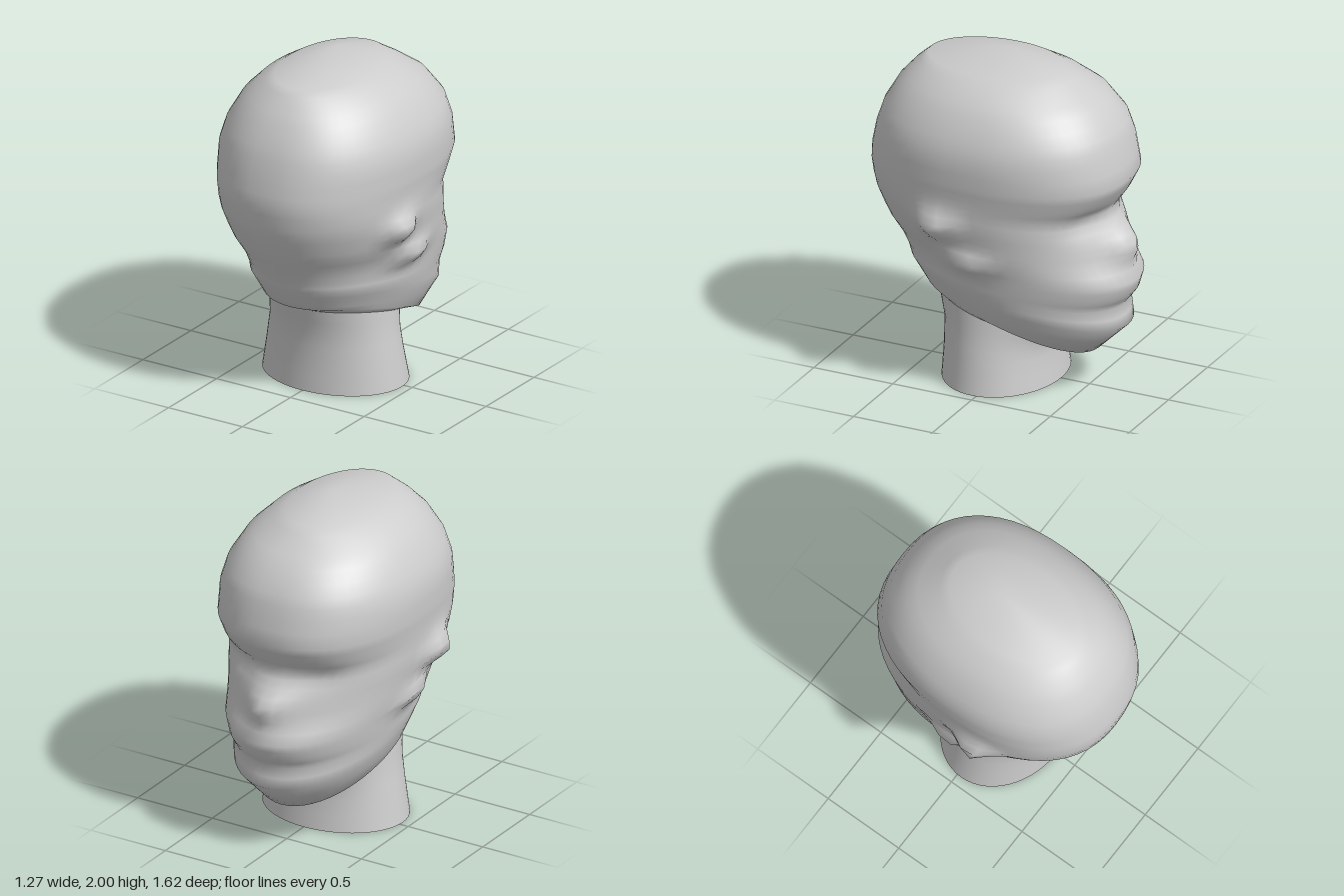
import * as THREE from 'three';

const SEGMENTS = 56;
const STEPS = 2; // sub-rings between neighbouring sections

// Sections: [face y, face z, nape y, nape z, half width, roundness exponent]
const neckSections = [
  [0, -0.32, 0, 0.375, 0.445, 2],
  [0.18, -0.295, 0.2, 0.365, 0.41, 2],
  [0.26, -0.3, 0.36, 0.37, 0.385, 2],
  [0.32, -0.33, 0.52, 0.41, 0.37, 2],
];
const headSections = [
  [0.32, -0.33, 0.52, 0.41, 0.37, 2],
  [0.24, -0.56, 0.56, 0.5, 0.4, 2],
  [0.42, -0.745, 0.62, 0.54, 0.45, 2],
  [0.55, -0.72, 0.7, 0.585, 0.475, 2.05],
  [0.63, -0.78, 0.76, 0.61, 0.485, 2],
  [0.72, -0.805, 0.85, 0.66, 0.5, 2],
  [0.84, -0.72, 0.95, 0.715, 0.53, 2.1],
  [0.94, -0.685, 1.03, 0.75, 0.545, 2.15],
  [1.03, -0.66, 1.12, 0.785, 0.56, 2.2],
  [1.13, -0.64, 1.2, 0.8, 0.565, 2.25],
  [1.22, -0.7, 1.28, 0.81, 0.57, 2.3],
  [1.33, -0.755, 1.36, 0.805, 0.58, 2.3],
  [1.5, -0.72, 1.5, 0.775, 0.58, 2.3],
  [1.62, -0.68, 1.62, 0.735, 0.545, 2.3],
  [1.75, -0.58, 1.75, 0.66, 0.47, 2.25],
  [1.84, -0.45, 1.84, 0.58, 0.38, 2.15],
  [1.91, -0.34, 1.91, 0.5, 0.27, 2],
];

const bump = (d, width) => Math.exp(-((d / width) ** 2));

// Nose, eye sockets, ears and earlobes pushed out of the smooth skull
function sculpt(p) {
  const side = Math.sign(p.x), ax = Math.abs(p.x);
  if (p.z < -0.3) {
    p.z -= 0.115 * bump(p.y - 0.93, 0.11) * bump(p.x, 0.13);
    p.z += 0.035 * bump(p.y - 1.1, 0.07) * bump(ax - 0.24, 0.12);
  }
  if (ax > 0.3) {
    p.x += side * 0.1 * bump(p.y - 1.07, 0.08) * bump(p.z - 0.21, 0.1);
    p.x += side * 0.075 * bump(p.y - 0.85, 0.055) * bump(p.z - 0.03, 0.13);
  }
}

// One point of a tilted, superelliptic section
function sectionPoint([yF, zF, yB, zB, w, n], i) {
  const a = (i / SEGMENTS) * Math.PI * 2;
  const round = (v) => Math.sign(v) * Math.abs(v) ** (2 / n);
  const c = round(Math.cos(a)), s = round(Math.sin(a));
  const mid = (zF + zB) / 2, half = (zB - zF) / 2;
  const y = yB + (yF - yB) * ((1 - c) / 2) ** 1.7;
  return new THREE.Vector3(w * s, y, mid + half * c);
}

// Skin over the sections, closed at an optional apex
function loft(sections, apex, shape) {
  const rings = [];
  sections.forEach((sec, k) => {
    if (k === 0) return rings.push(sec);
    for (let j = 1; j <= STEPS; j++) {
      rings.push(sec.map((v, m) => THREE.MathUtils.lerp(sections[k - 1][m], v, j / STEPS)));
    }
  });
  const positions = [], index = [];
  for (const ring of rings) {
    for (let i = 0; i < SEGMENTS; i++) {
      const p = sectionPoint(ring, i);
      if (shape) shape(p);
      positions.push(p.x, p.y, p.z);
    }
  }
  for (let r = 0; r < rings.length - 1; r++) {
    for (let i = 0; i < SEGMENTS; i++) {
      const j = (i + 1) % SEGMENTS;
      const a = r * SEGMENTS + i, b = r * SEGMENTS + j;
      index.push(a, b, b + SEGMENTS, a, b + SEGMENTS, a + SEGMENTS);
    }
  }
  if (apex) {
    const top = positions.length / 3, last = top - SEGMENTS;
    positions.push(...apex);
    for (let i = 0; i < SEGMENTS; i++) index.push(last + i, last + ((i + 1) % SEGMENTS), top);
  }
  const geometry = new THREE.BufferGeometry();
  geometry.setAttribute('position', new THREE.Float32BufferAttribute(positions, 3));
  geometry.setIndex(index);
  geometry.computeVertexNormals();
  return geometry;
}

export function createModel() {
  const clay = new THREE.MeshStandardMaterial({ color: 0xcccccc });
  clay.name = 'grey clay';
  clay.side = THREE.DoubleSide;

  const group = new THREE.Group();
  group.name = 'headBust';

  // Open-ended neck
  const neck = new THREE.Mesh(loft(neckSections), clay);
  neck.name = 'neck';

  // Skull and face, looking towards -z
  const head = new THREE.Mesh(loft(headSections, [0, 2, 0], sculpt), clay);
  head.name = 'head';

  group.add(neck, head);
  return group;
}
